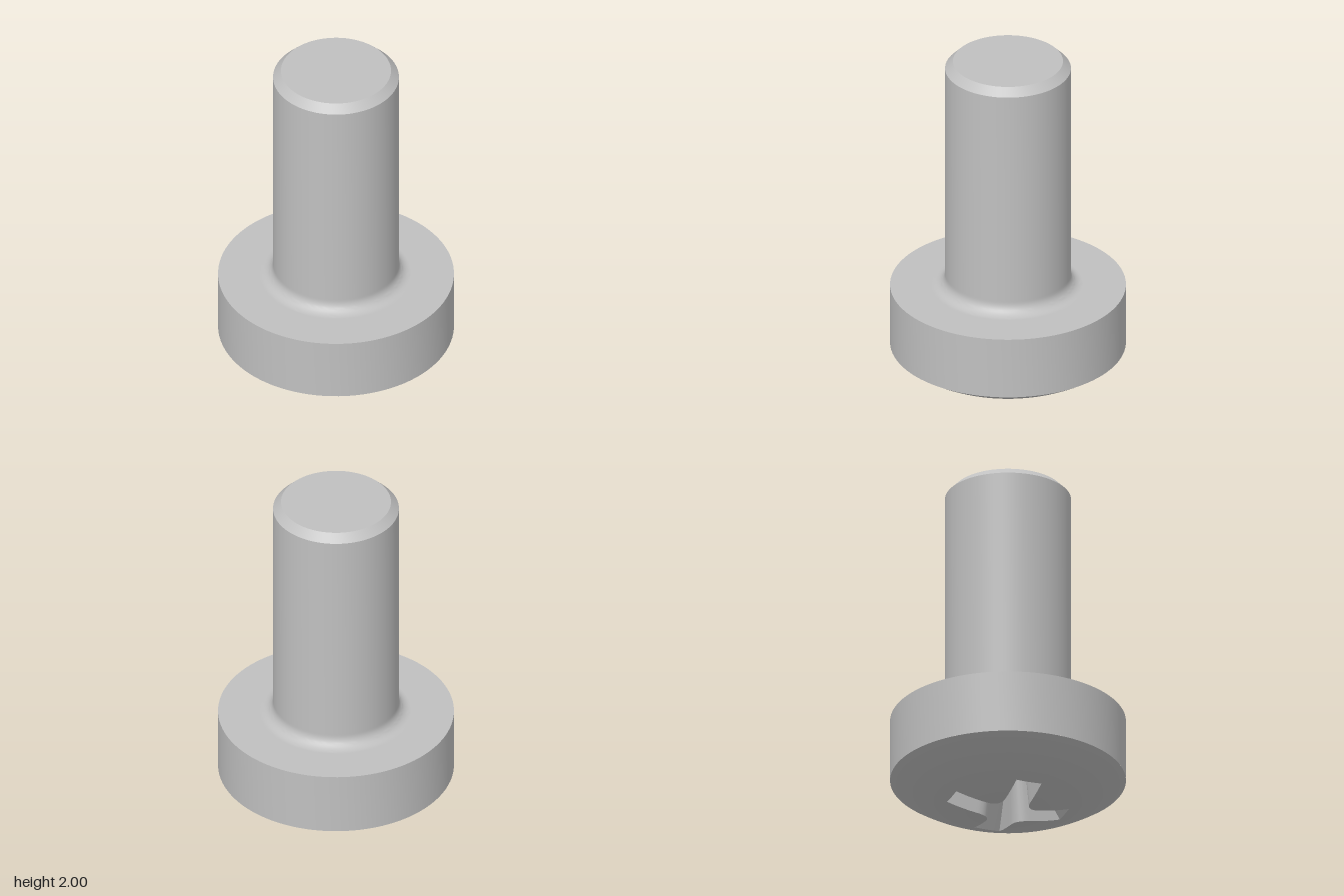
import * as THREE from 'three';
import { toCreasedNormals } from 'three/addons/utils/BufferGeometryUtils.js';

const CREASE = Math.PI / 7;
const RIM = 0.667, DOME_R = 1.17;

// Height of the domed underside at radius r
const domeY = (r) => DOME_R - Math.sqrt(DOME_R * DOME_R - r * r) - 0.008;

// Cross outline: arm length, arm half-width, start of the rounded inner corner
function crossOutline(length, half, corner) {
  const quarter = [];
  for (let i = 0; i < 6; i++) quarter.push([length, half * (i / 3 - 1)]);
  for (let i = 0; i < 5; i++) quarter.push([length + (corner - length) * i / 5, half]);
  for (let i = 0; i < 12; i++) {
    const t = i / 12, a = (1 - t) ** 2, b = 2 * t * (1 - t), c = t * t;
    quarter.push([a * corner + b * half + c * half, a * half + b * half + c * corner]);
  }
  for (let i = 0; i < 5; i++) quarter.push([half, corner + (length - corner) * i / 5]);
  const points = [];
  for (let q = 0; q < 4; q++) {
    const cos = Math.round(Math.cos(q * Math.PI / 2)), sin = Math.round(Math.sin(q * Math.PI / 2));
    for (const [x, z] of quarter) points.push([x * cos - z * sin, x * sin + z * cos]);
  }
  return points;
}

// Skin between closed rings of [x, y, z], ordered from the axis outwards, facing down
function loft(rings) {
  const n = rings[0].length, index = [];
  for (let i = 0; i < rings.length - 1; i++) {
    for (let j = 0; j < n; j++) {
      const a = i * n + j, b = i * n + (j + 1) % n;
      index.push(a, a + n, b, b, a + n, b + n);
    }
  }
  const geometry = new THREE.BufferGeometry();
  geometry.setAttribute('position', new THREE.Float32BufferAttribute(rings.flat(2), 3));
  geometry.setIndex(index);
  return toCreasedNormals(geometry, CREASE);
}

export function createModel() {
  const group = new THREE.Group();
  const steel = new THREE.MeshStandardMaterial({ color: 0xc0c0c0 });
  steel.name = 'steel';
  const add = (name, geometry) => {
    const mesh = new THREE.Mesh(geometry, steel);
    mesh.name = name;
    group.add(mesh);
  };
  const lathe = (points) => toCreasedNormals(
    new THREE.LatheGeometry(points.map(([r, y]) => new THREE.Vector2(r, y)), 96), CREASE);

  // Head: straight side and flat bearing face
  add('head', lathe([[RIM, domeY(RIM)], [RIM, 0.57], [0.425, 0.57]]));

  // Shank: fillet at the head, cylinder, chamfered tip
  const shank = [[0.43, 0.57]];
  for (let i = 0; i <= 10; i++) {
    const a = i / 10 * Math.PI / 2;
    shank.push([0.426 - 0.07 * Math.sin(a), 0.64 - 0.07 * Math.cos(a)]);
  }
  shank.push([0.356, 0.65], [0.356, 1.955], [0.311, 2], [0, 2]);
  add('shank', lathe(shank));

  // Dome: from the mouth of the recess out to the rim
  const mouth = crossOutline(0.34, 0.075, 0.16);
  const domeRings = [];
  for (let i = 0; i <= 14; i++) {
    domeRings.push(mouth.map(([x, z]) => {
      const r0 = Math.hypot(x, z), r = r0 + (RIM - r0) * i / 14;
      return [x * r / r0, domeY(r), z * r / r0];
    }));
  }
  add('dome', loft(domeRings));

  // Cross recess: tapering walls down to a shallow conical floor
  const floor = crossOutline(0.14, 0.055, 0.105);
  add('crossRecess', loft([
    floor.map(() => [0, 0.43, 0]),
    floor.map(([x, z]) => [x, 0.39, z]),
    mouth.map(([x, z]) => [x, domeY(Math.hypot(x, z)), z]),
  ]));
  return group;
}
